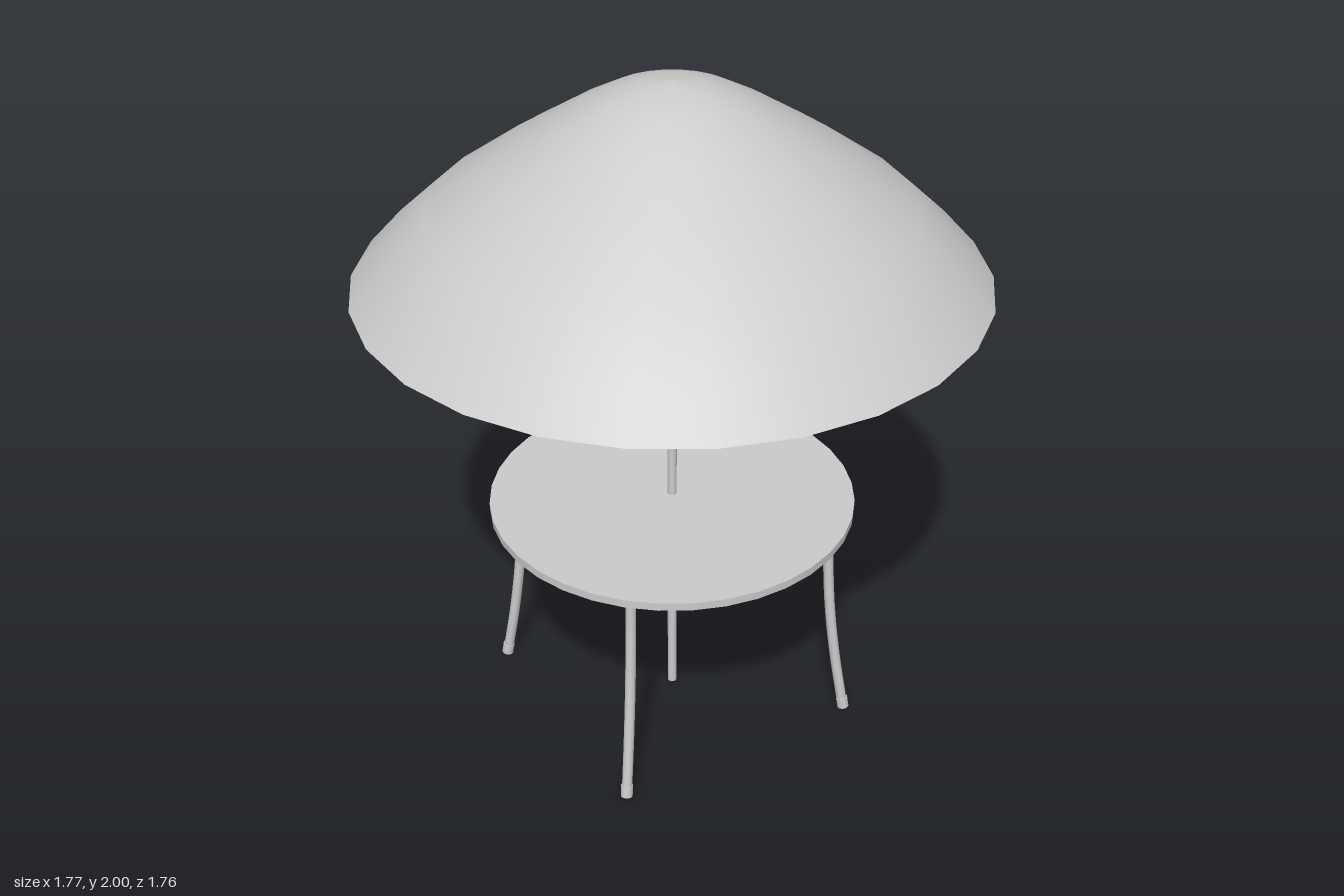
import * as THREE from 'three';

export function createModel() {
  const model = new THREE.Group();
  const material = new THREE.MeshStandardMaterial({ color: 0xcccccc });
  const canopyMaterial = new THREE.MeshStandardMaterial({ color: 0xcccccc, side: THREE.DoubleSide });

  function add(parent, name, geometry, y = 0, mat = material) {
    const mesh = new THREE.Mesh(geometry, mat);
    mesh.name = name;
    mesh.position.y = y;
    parent.add(mesh);
    return mesh;
  }

  // Thin open canopy with a rounded crown, 26 sides
  const profile = [
    [0.885, 1.43], [0.785, 1.54], [0.67, 1.645], [0.48, 1.78],
    [0.29, 1.9], [0.18, 1.96], [0.09, 1.99], [0, 2],
  ].map(([r, y]) => new THREE.Vector2(r, y));
  const canopy = new THREE.LatheGeometry(profile, 26).rotateY(Math.PI / 2);
  add(model, 'canopy', canopy, 0, canopyMaterial);

  // Central pole through the table to the ground
  add(model, 'pole', new THREE.CylinderGeometry(0.014, 0.014, 1.86, 12), 0.93);

  // Round table top
  add(model, 'tableTop', new THREE.CylinderGeometry(0.538, 0.538, 0.024, 36), 0.698);

  // Four legs that flare outwards, each with a small foot
  const path = new THREE.CatmullRomCurve3([
    [0.471, 0.69], [0.475, 0.55], [0.487, 0.38], [0.51, 0.2], [0.541, 0.02],
  ].map(([x, y]) => new THREE.Vector3(x, y, 0)));
  const legGeometry = new THREE.TubeGeometry(path, 14, 0.0155, 10);
  const footGeometry = new THREE.CylinderGeometry(0.018, 0.018, 0.034, 12);
  for (let i = 0; i < 4; i++) {
    const leg = new THREE.Group();
    leg.name = 'leg' + (i + 1);
    add(leg, 'legTube', legGeometry);
    const foot = add(leg, 'foot', footGeometry, 0.02);
    foot.position.x = 0.542;
    foot.rotation.z = 0.17;
    leg.rotation.y = (i * Math.PI) / 2;
    model.add(leg);
  }

  return model;
}
